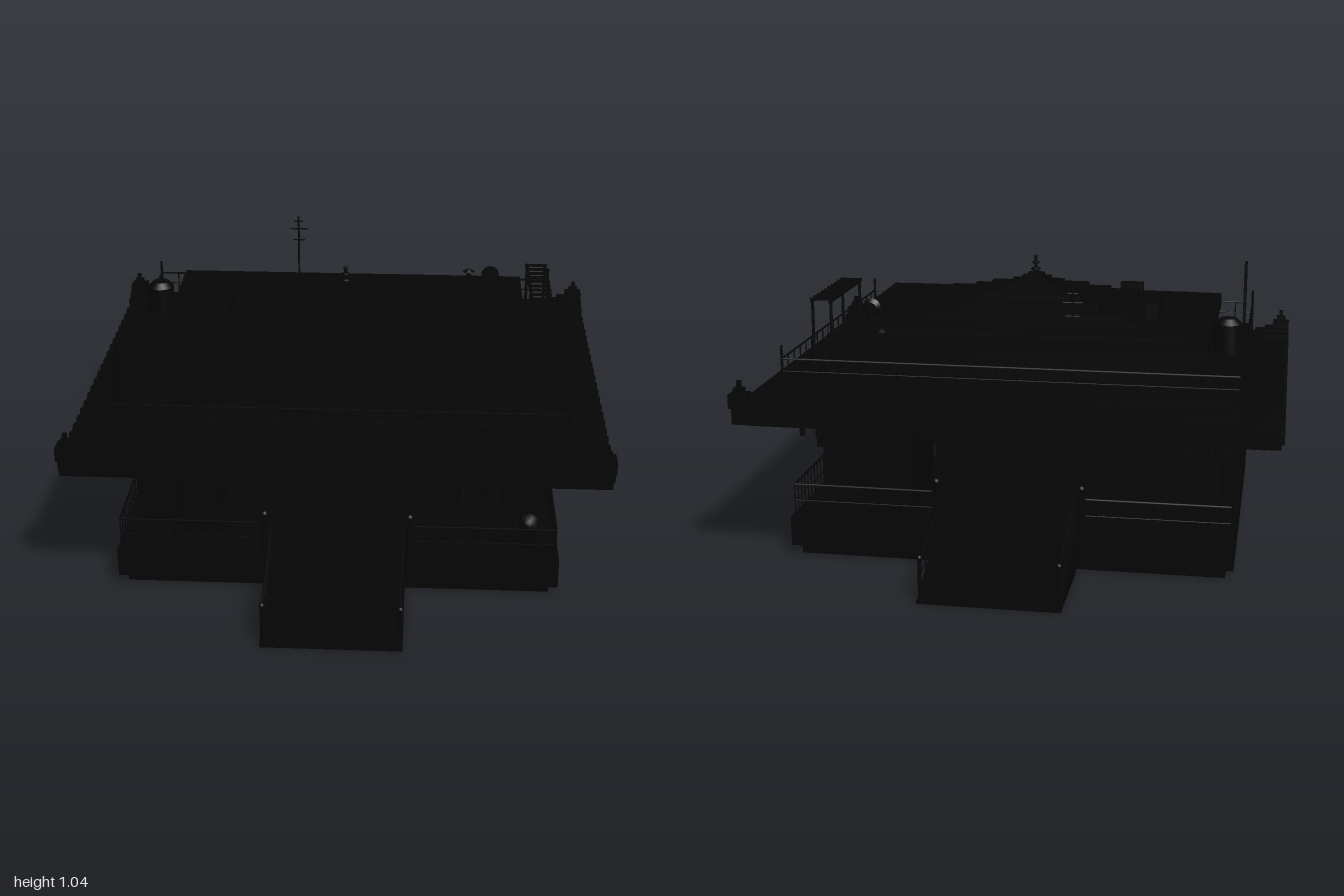
import * as THREE from 'three';

export function createModel() {
  const model = new THREE.Group();
  const black = new THREE.MeshStandardMaterial({ color: 0x050505 });
  black.name = 'black';

  const add = (name, geo, parent = model) => {
    const m = new THREE.Mesh(geo, black);
    m.name = name;
    parent.add(m);
    return m;
  };
  const group = (name) => {
    const g = new THREE.Group();
    g.name = name;
    model.add(g);
    return g;
  };
  // Box given by its minimum and maximum on each axis
  const box = (name, x0, x1, y0, y1, z0, z1, parent) =>
    add(name, new THREE.BoxGeometry(x1 - x0, y1 - y0, z1 - z0), parent)
      .position.set((x0 + x1) / 2, (y0 + y1) / 2, (z0 + z1) / 2);
  // Box centred on the vertical axis
  const slab = (name, hx, hz, y0, y1, parent) => box(name, -hx, hx, y0, y1, -hz, hz, parent);
  // Thin round bar between two points
  const bar = (name, a, b, r, parent, sides = 5) => {
    const p = new THREE.Vector3(...a), q = new THREE.Vector3(...b), d = q.clone().sub(p);
    const m = add(name, new THREE.CylinderGeometry(r, r, d.length(), sides), parent);
    m.position.copy(p).add(q).multiplyScalar(0.5);
    m.quaternion.setFromUnitVectors(new THREE.Vector3(0, 1, 0), d.normalize());
  };
  const post = (name, x, z, y0, y1, r, parent) => bar(name, [x, y0, z], [x, y1, z], r, parent, 8);
  // Straight railing with top rail, middle rail and balusters
  const railing = (x0, z0, x1, z1, y, h, step, parent) => {
    for (const k of [0.5, 1]) bar('rail', [x0, y + h * k, z0], [x1, y + h * k, z1], k < 1 ? 0.002 : 0.004, parent);
    const n = Math.round(Math.hypot(x1 - x0, z1 - z0) / step);
    for (let i = 0; i <= n; i++) {
      const x = x0 + (x1 - x0) * i / n, z = z0 + (z1 - z0) * i / n;
      bar('baluster', [x, y, z], [x, y + h, z], 0.0025, parent, 4);
    }
  };
  const sides = [-1, 1];

  // Base and deck
  slab('footing', 0.78, 0.593, 0, 0.04);
  slab('deck', 0.81, 0.625, 0.04, 0.15);

  // Stairs with sloped handrails, front and back
  for (const s of sides) {
    const stairs = group('stairs');
    const n = 9;
    for (let i = 0; i < n; i++) {
      const a = 0.625 + 0.375 * i / n, b = 0.625 + 0.375 * (i + 1) / n;
      const y = 0.15 * (n - i) / n - 0.005;
      box('step', -0.25, 0.25, 0, y, Math.min(a * s, b * s), Math.max(a * s, b * s), stairs);
    }
    for (const t of sides) {
      const x = 0.24 * t;
      post('newelPost', x * 1.1, 0.61 * s, 0.15, 0.31, 0.009, stairs);
      add('newelCap', new THREE.SphereGeometry(0.014, 10, 8), stairs).position.set(x * 1.1, 0.31, 0.61 * s);
      post('footPost', x, 0.98 * s, 0, 0.16, 0.007, stairs);
      add('footCap', new THREE.SphereGeometry(0.011, 10, 8), stairs).position.set(x, 0.16, 0.98 * s);
      for (const d of [0, 0.05, 0.09])
        bar('handrail', [x, 0.265 - d, 0.63 * s], [x, 0.135 - d, 0.98 * s], d ? 0.002 : 0.005, stairs);
      for (const z of [0.72, 0.8, 0.89]) {
        const y = 0.265 - (z - 0.63) * 0.371;
        bar('baluster', [x, y - 0.13, z * s], [x, y, z * s], 0.003, stairs);
      }
    }
  }

  // Deck railing, open at both stairs
  const deckRail = group('deckRailing');
  for (const s of sides) {
    railing(0.795 * s, -0.61, 0.795 * s, 0.61, 0.15, 0.122, 0.04, deckRail);
    for (const t of sides) railing(0.28 * t, 0.61 * s, 0.795 * t, 0.61 * s, 0.15, 0.122, 0.04, deckRail);
  }

  // Columns and ceiling beams
  for (const x of [-0.625, 0.625])
    for (const z of [-0.44, 0, 0.44]) box('column', x - 0.022, x + 0.022, 0.15, 0.53, z - 0.022, z + 0.022);
  for (const s of sides) {
    box('ceilingBeamSide', 0.625 * s - 0.03, 0.625 * s + 0.03, 0.505, 0.54, -0.47, 0.47);
    box('ceilingBeamCross', -0.65, 0.65, 0.505, 0.54, 0.44 * s - 0.025, 0.44 * s + 0.025);
  }

  // Ground floor rooms, counters and hanging boards
  box('cornerRoom', 0.37, 0.66, 0.15, 0.53, -0.55, -0.36);
  box('cornerCabinet', 0.37, 0.76, 0.15, 0.385, -0.36, -0.19);
  box('cabinetTop', 0.64, 0.74, 0.385, 0.47, -0.5, -0.36);
  box('stallBack', -0.75, -0.42, 0.15, 0.38, -0.5, -0.2);
  box('stallFront', -0.76, -0.44, 0.15, 0.375, 0.33, 0.43);
  box('bench', -0.44, -0.33, 0.19, 0.215, 0.3, 0.4);
  post('benchLeg', -0.38, 0.35, 0.15, 0.19, 0.02);
  box('frontBoard', -0.6, -0.3, 0.41, 0.53, 0.45, 0.56);
  box('sideBoard', 0.58, 0.65, 0.41, 0.53, -0.36, 0.41);
  box('innerBoard', 0.3, 0.37, 0.41, 0.53, -0.4, -0.2);

  // Tables and stools along the left side
  const seating = group('seating');
  for (const z of [-0.1, 0.07, 0.19]) {
    post('tableLeg', 0.55, z, 0.15, 0.235, 0.012, seating);
    add('tableTop', new THREE.CylinderGeometry(0.05, 0.05, 0.012, 16), seating).position.set(0.55, 0.238, z);
    for (const t of sides)
      add('stool', new THREE.CylinderGeometry(0.018, 0.022, 0.055, 10), seating).position.set(0.55 + 0.085 * t, 0.178, z);
  }
  add('planter', new THREE.CylinderGeometry(0.035, 0.025, 0.07, 12)).position.set(0.7, 0.185, 0.52);
  add('plant', new THREE.IcosahedronGeometry(0.04, 1)).position.set(0.7, 0.25, 0.52);

  // Light strings across the middle, with small bulbs
  const lights = group('lightStrings');
  for (const z of [-0.4, 0.4]) {
    for (const y of [0.455, 0.478]) bar('wire', [-0.3, y, z], [0.3, y, z], 0.0015, lights, 4);
    for (let i = 0; i < 14; i++)
      add('bulb', new THREE.SphereGeometry(0.005, 6, 5), lights).position.set(-0.28 + i * 0.043, 0.446 - 0.008 * (i % 2), z);
  }
  // Hanging lanterns under the eaves
  for (const s of sides) for (const x of [-0.72, 0.7, 0.76]) {
    bar('lanternCord', [x, 0.53, 0.6 * s], [x, 0.49, 0.6 * s], 0.002);
    add('lantern', new THREE.CylinderGeometry(0.011, 0.011, 0.035, 8)).position.set(x, 0.475, 0.6 * s);
  }

  // Eaves with rafters below and toothed tile ends
  const eaves = group('eaves');
  slab('soffit', 0.91, 0.735, 0.525, 0.54, eaves);
  slab('eaveSlab', 0.96, 0.78, 0.54, 0.6, eaves);
  slab('roofDeck', 0.82, 0.64, 0.6, 0.66, eaves);
  slab('roofStep', 0.85, 0.68, 0.6, 0.625, eaves);
  for (const s of sides) {
    for (let i = 0; i < 24; i++) {
      const z = -0.74 + i * 1.48 / 23;
      box('tileEnd', 0.964 * s - 0.006, 0.964 * s + 0.006, 0.55, 0.59, z - 0.012, z + 0.012, eaves);
      const x = -0.86 + i * 1.72 / 23;
      box('rafter', x - 0.01, x + 0.01, 0.515, 0.53, 0.69 * s - 0.22 * (s > 0), 0.69 * s + 0.22 * (s < 0), eaves);
    }
    for (let i = 0; i < 16; i++) {
      const z = -0.42 + i * 0.056;
      box('sideRafter', Math.min(0.62 * s, 0.88 * s), Math.max(0.62 * s, 0.88 * s), 0.515, 0.53, z - 0.01, z + 0.01, eaves);
    }
    // Stepped corner ornaments
    for (const t of sides)
      for (const [w, y0, y1] of [[0.14, 0.6, 0.612], [0.1, 0.612, 0.625], [0.065, 0.625, 0.65], [0.035, 0.65, 0.67], [0.015, 0.67, 0.695]]) {
        const k = w > 0.06 ? w / 2 : 0.0325;
        const cx = (0.968 - k) * s, cz = (0.788 - k) * t;
        box('cornerOrnament', cx - w / 2, cx + w / 2, y0, y1, cz - w / 2, cz + w / 2, eaves);
      }
  }

  // Terrace railing
  const roofRail = group('terraceRailing');
  for (const s of sides) {
    railing(0.815 * s, -0.635, 0.815 * s, 0.635, 0.66, 0.09, 0.07, roofRail);
    railing(-0.815, 0.635 * s, 0.815, 0.635 * s, 0.66, 0.09, 0.07, roofRail);
    for (const t of sides) post('railPost', 0.815 * s, 0.635 * t, 0.66, 0.8, 0.005, roofRail);
  }

  // Upper storey and stepped roof
  slab('upperStorey', 0.6, 0.43, 0.66, 0.76);
  const tiers = [[0.69, 0.515, 0.81], [0.6, 0.42, 0.83], [0.44, 0.31, 0.845], [0.38, 0.255, 0.868],
    [0.27, 0.2, 0.89], [0.19, 0.14, 0.915], [0.1, 0.09, 0.935], [0.055, 0.05, 0.955], [0.03, 0.03, 0.97]];
  let y = 0.758;
  for (const [hx, hz, top] of tiers) {
    slab('roofTier', hx, hz, y, top);
    y = top;
  }
  post('spire', 0, 0, 0.97, 1.035, 0.006);
  for (const [r, h] of [[0.02, 0.985], [0.015, 1.01], [0.01, 1.035]])
    add('spireBead', new THREE.SphereGeometry(r, 12, 6).scale(1, 0.4, 1)).position.set(0, h, 0);
  // Window mullions on the upper storey
  for (const s of sides) {
    for (let i = 0; i < 15; i++) box('mullion', -0.565 + i * 0.08, -0.555 + i * 0.08, 0.67, 0.755, 0.434 * s - 0.004, 0.434 * s + 0.004);
    for (let i = 0; i < 11; i++) box('sideMullion', 0.604 * s - 0.004, 0.604 * s + 0.004, 0.67, 0.755, -0.405 + i * 0.08, -0.395 + i * 0.08);
  }

  // Water tank on legs
  const tank = group('waterTank');
  add('tankBody', new THREE.CylinderGeometry(0.051, 0.051, 0.11, 20), tank).position.set(-0.75, 0.795, -0.24);
  add('tankLid', new THREE.CylinderGeometry(0.03, 0.051, 0.02, 20), tank).position.set(-0.75, 0.86, -0.24);
  for (const s of sides) for (const t of sides)
    post('tankLeg', -0.75 + 0.035 * s, -0.24 + 0.035 * t, 0.66, 0.75, 0.005, tank);

  // Upright sign panel
  box('signPanel', -0.79, -0.78, 0.7, 0.93, 0.5, 0.61);
  for (const z of [0.52, 0.59]) post('signPost', -0.785, z, 0.66, 0.72, 0.004);

  // Antenna mast
  post('mast', -0.225, -0.58, 0.66, 1.03, 0.004);
  for (const [h, w] of [[0.93, 0.025], [0.978, 0.036], [1.01, 0.018]])
    bar('antennaBar', [-0.225 - w, h, -0.58], [-0.225 + w, h, -0.58], 0.003);

  // Pergola frame with rungs
  const pergola = group('pergola');
  for (const x of [0.708, 0.778]) {
    box('pergolaBeam', x - 0.005, x + 0.005, 0.905, 0.917, -0.385, 0.035, pergola);
    for (const z of [-0.37, 0.02]) post('pergolaPost', x, z, 0.66, 0.91, 0.006, pergola);
  }
  for (let i = 0; i < 10; i++)
    box('pergolaRung', 0.7, 0.786, 0.912, 0.92, -0.375 + i * 0.044, -0.365 + i * 0.044, pergola);

  // Dish, vent and machine boxes on the roof
  const dish = add('dish', new THREE.CylinderGeometry(0.035, 0.02, 0.014, 24));
  dish.position.set(0.56, 0.885, -0.35);
  dish.rotation.x = Math.PI / 2;
  post('dishPost', 0.56, -0.36, 0.82, 0.88, 0.004);
  post('vent', 0.48, -0.505, 0.8, 0.835, 0.01);
  add('ventCap', new THREE.CylinderGeometry(0.005, 0.024, 0.012, 12)).position.set(0.48, 0.838, -0.505);
  box('machineBox', -0.49, -0.44, 0.835, 0.9, -0.17, 0.05);
  box('smallMachineBox', -0.39, -0.3, 0.83, 0.89, 0.255, 0.3);

  return model;
}
